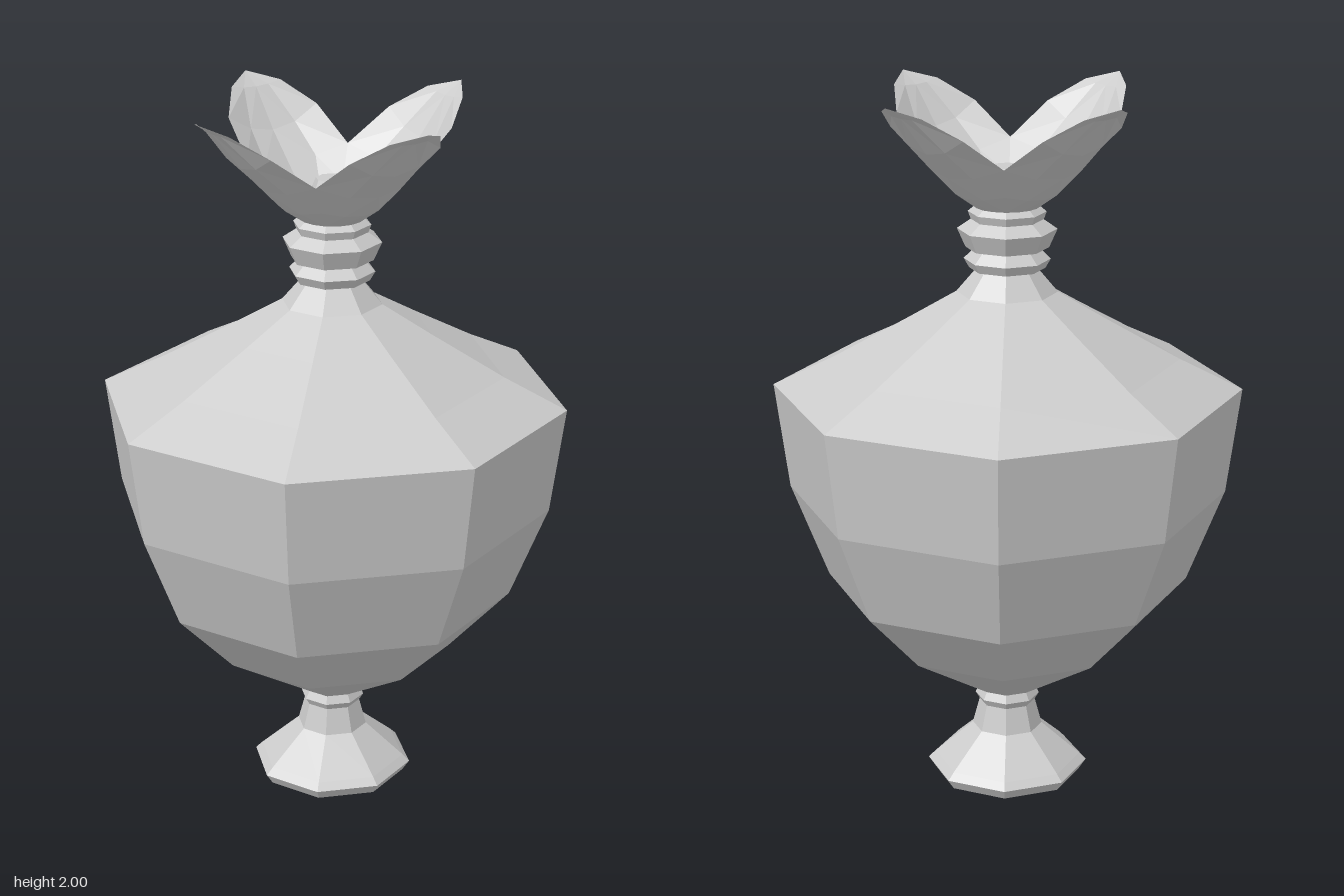
import * as THREE from 'three';

const solid = new THREE.MeshStandardMaterial({ color: 0xcccccc, flatShading: true });
const thin = new THREE.MeshStandardMaterial({ color: 0xcccccc, flatShading: true, side: THREE.DoubleSide });

// Eight-sided turned part from [radius, height] pairs, bottom to top
function turned(name, profile) {
  const points = profile.map(([r, y]) => new THREE.Vector2(r, y));
  const mesh = new THREE.Mesh(new THREE.LatheGeometry(points, 8), solid);
  mesh.name = name;
  return mesh;
}

// Cupped petal facing +z; rows are [centre z, centre y, edge x, edge z, edge y]
function petalGeometry() {
  const rows = [
    [0.09, 1.68, 0.064, 0.064, 1.68],
    [0.15, 1.72, 0.11, 0.11, 1.735],
    [0.215, 1.785, 0.165, 0.165, 1.825],
    [0.29, 1.86, 0.145, 0.29, 1.915],
    [0.375, 1.965, 0.08, 0.375, 1.975],
    [0.43, 2.0, 0, 0.43, 2.0],
  ];
  const columns = [-1, -0.5, 0, 0.5, 1];
  const positions = [];
  const index = [];
  for (const [cz, cy, ex, ez, ey] of rows) {
    for (const t of columns) {
      const k = t * t;
      positions.push(ex * t, cy + (ey - cy) * k, cz + (ez - cz) * k);
    }
  }
  const n = columns.length;
  for (let r = 0; r < rows.length - 1; r++) {
    for (let c = 0; c < n - 1; c++) {
      const a = r * n + c, b = a + 1, d = a + n, e = d + 1;
      // Mirror the diagonals about the midrib; the last row closes to a point
      if (r === rows.length - 2) index.push(a, b, d);
      else if (c < 2) index.push(a, b, e, a, e, d);
      else index.push(a, b, d, b, e, d);
    }
  }
  const geometry = new THREE.BufferGeometry();
  geometry.setAttribute('position', new THREE.Float32BufferAttribute(positions, 3));
  geometry.setIndex(index);
  geometry.computeVertexNormals();
  return geometry;
}

export function createModel() {
  const model = new THREE.Group();
  model.name = 'urn';

  // Flared foot and stem with collar
  model.add(turned('foot', [
    [0, 0], [0.21, 0], [0.23, 0.03], [0.21, 0.05], [0.1, 0.145],
    [0.08, 0.22], [0.092, 0.24], [0.08, 0.262],
  ]));

  // Rounded bowl
  model.add(turned('bowl', [
    [0.08, 0.262], [0.34, 0.42], [0.51, 0.6], [0.615, 0.865], [0.655, 1.165],
  ]));

  // Sloping shoulder
  model.add(turned('shoulder', [
    [0.655, 1.165], [0.48, 1.25], [0.28, 1.36], [0.14, 1.44], [0.085, 1.505],
  ]));

  // Ringed neck ending in a small stub inside the flower
  model.add(turned('neck', [
    [0.085, 1.505], [0.105, 1.507], [0.12, 1.533], [0.09, 1.562], [0.115, 1.565],
    [0.138, 1.617], [0.1, 1.643], [0.108, 1.665], [0.09, 1.68],
    [0.058, 1.685], [0.055, 1.765], [0.045, 1.79], [0, 1.79],
  ]));

  // Four petals around the mouth
  const flower = new THREE.Group();
  flower.name = 'flower';
  const geometry = petalGeometry();
  for (let i = 0; i < 4; i++) {
    const petal = new THREE.Mesh(geometry, thin);
    petal.name = 'petal';
    petal.rotation.y = i * Math.PI / 2;
    flower.add(petal);
  }
  model.add(flower);

  return model;
}
